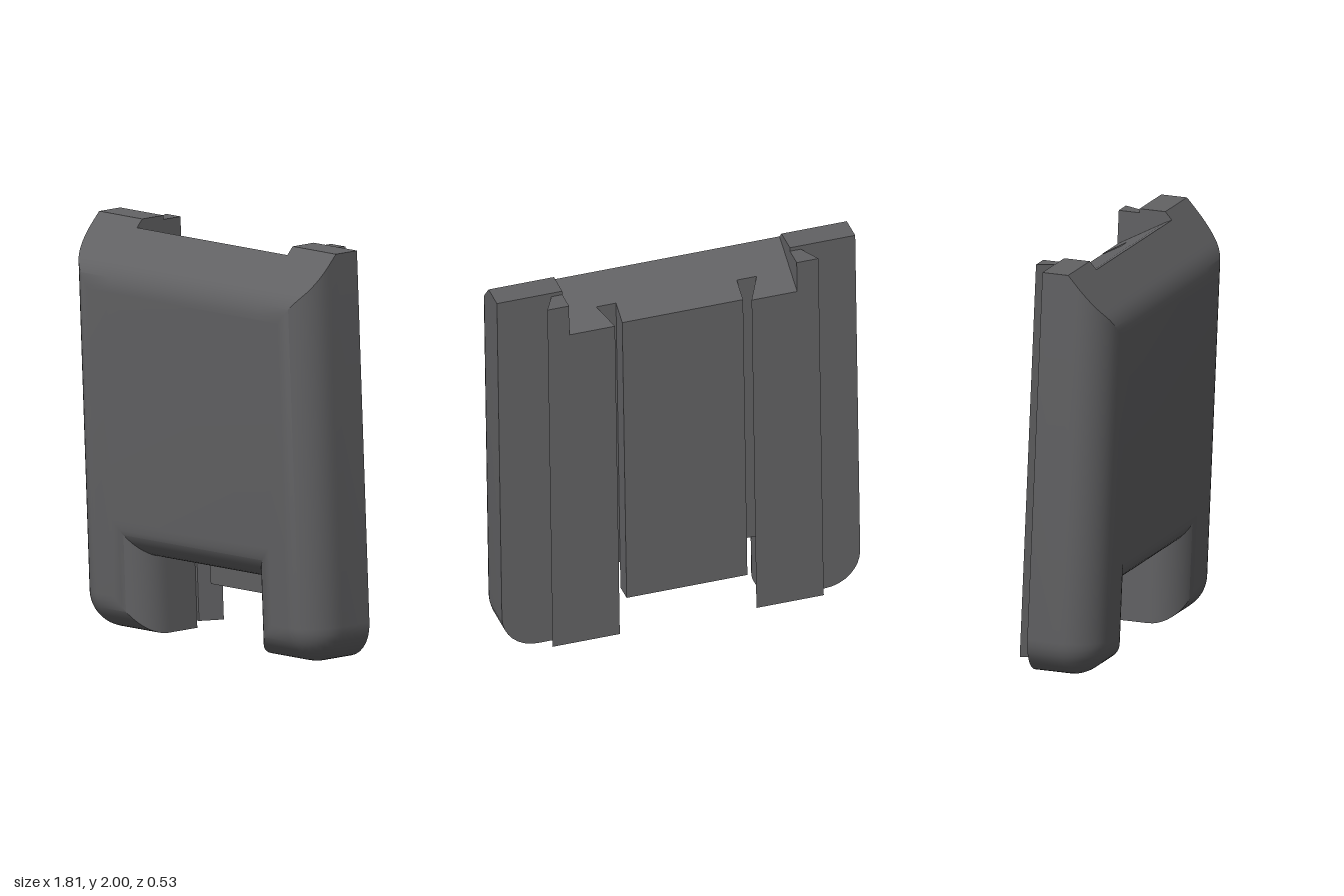
import * as THREE from 'three';
import { toCreasedNormals } from 'three/addons/utils/BufferGeometryUtils.js';

const BACK = -0.16, FRONT = 0.2, R = 0.18; // body depth and edge rounding
const TILT = 0.0425;

// Height of the top: flat, then a chamfer, then a fillet into the front face
function topY(z) {
  const chamfer = 1.995 - Math.max(0, z + 0.03) * 1.08;
  if (z < 0.145) return chamfer;
  return Math.min(chamfer, 1.667 + Math.sqrt(Math.max(0, 0.203 ** 2 - (z + 0.003) ** 2)));
}
// Sloping floor of the wide notch in the top edge
const floorY = (z) => Math.min(topY(z), 1.96 + (z - 0.005) * 0.56);

// Body outline at one depth, counter-clockwise
function outline(z) {
  const d = Math.max(0, z - (FRONT - R));
  const i = R - Math.sqrt(Math.max(0, R * R - d * d));
  const r = Math.max(0.003, R - i), n = 8, pts = [];
  const arc = (side) => {
    for (let k = 0; k <= n; k++) {
      const a = (side < 0 ? k : n - k) / n * Math.PI / 2;
      pts.push([side * (0.905 - i - r + r * Math.cos(a)), i + r - r * Math.sin(a)]);
    }
  };
  const t = topY(z), f = floorY(z);
  arc(-1);
  pts.push([-0.42 - i, i], [-0.42 - i, 0.375 + i], [0.42 + i, 0.375 + i], [0.42 + i, i]);
  arc(1);
  pts.push([0.905 - i, t], [0.575, t], [0.575, f], [-0.575, f], [-0.575, t], [-0.905 + i, t]);
  return pts;
}

// Loft the outlines from back to front and close both ends
function bodyGeometry() {
  const depths = [BACK, -0.03, 0.005];
  for (let k = 0; k <= 12; k++) depths.push(FRONT - R + R * Math.sin(k / 12 * Math.PI / 2));
  const layers = depths.map(outline), n = layers[0].length;
  const pos = [], index = [];
  layers.forEach((layer, k) => layer.forEach(([x, y]) => pos.push(x, y, depths[k])));
  for (let k = 0; k < layers.length - 1; k++) {
    for (let j = 0; j < n; j++) {
      const a = k * n + j, b = k * n + (j + 1) % n;
      index.push(a, b, b + n, a, b + n, a + n);
    }
  }
  const cap = (k, flip) => {
    const pts = layers[k].map(([x, y]) => new THREE.Vector2(x, y));
    for (const [a, b, c] of THREE.ShapeUtils.triangulateShape(pts, [])) {
      const o = k * n;
      index.push(o + a, o + (flip ? c : b), o + (flip ? b : c));
    }
  };
  cap(0, true);
  cap(layers.length - 1, false);
  const g = new THREE.BufferGeometry();
  g.setAttribute('position', new THREE.Float32BufferAttribute(pos, 3));
  g.setIndex(index);
  return toCreasedNormals(g, 0.5);
}

// Upright bar from an (x, z) section, its top following a height rule
function barGeometry(section, bottom, top) {
  const shape = new THREE.Shape(section.map(([x, z]) => new THREE.Vector2(x, -z)));
  const g = new THREE.ExtrudeGeometry(shape, { depth: 1, bevelEnabled: false });
  g.rotateX(-Math.PI / 2);
  const p = g.attributes.position;
  for (let k = 0; k < p.count; k++) p.setY(k, p.getY(k) > 0.5 ? top(p.getZ(k)) : bottom);
  g.computeVertexNormals();
  return g;
}

export function createModel() {
  const model = new THREE.Group();
  model.name = 'slideOnCover';
  const tilted = new THREE.Group();
  tilted.name = 'tiltedCover';
  tilted.rotation.x = TILT;
  model.add(tilted);

  const darkGrey = new THREE.MeshStandardMaterial({ color: 0x626264 });
  darkGrey.name = 'darkGrey';
  const add = (name, geometry) => {
    const mesh = new THREE.Mesh(geometry, darkGrey);
    mesh.name = name;
    tilted.add(mesh);
  };

  add('body', bodyGeometry());

  // Dovetail rails, each cut down on its inner part by the top notch
  const railBack = -0.265;
  for (const [side, label] of [[1, 'left'], [-1, 'right']]) {
    const mirror = (pts) => pts.map(([x, z]) => [x * side, z]);
    add(label + 'RailInner', barGeometry(
      mirror([[0.405, BACK], [0.575, BACK], [0.575, railBack], [0.345, railBack]]), 0.035, floorY));
    add(label + 'RailOuter', barGeometry(
      mirror([[0.575, BACK], [0.63, BACK], [0.685, railBack], [0.575, railBack]]), 0.035, () => 1.975));
  }

  // Raised plate between the rails, reaching down into the lower opening
  add('centrePlate', barGeometry(
    [[-0.305, BACK], [0.305, BACK], [0.305, -0.255], [-0.305, -0.255]], 0.228, floorY));

  return model;
}
